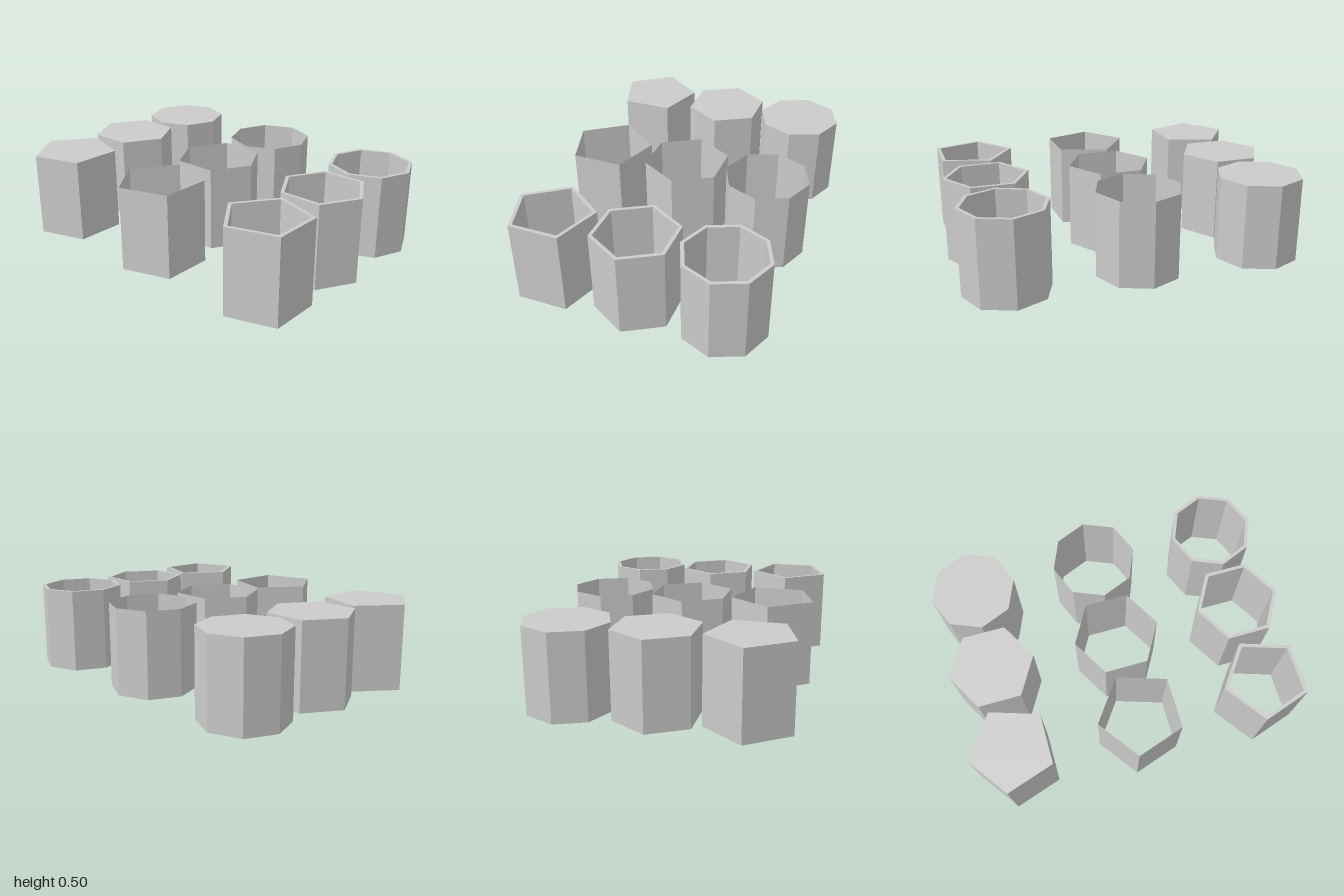
import * as THREE from 'three';

const RADIUS = 0.25, HEIGHT = 0.5, WALL = 0.02, SPACING = 0.5, ROW = 0.75;

// Corners of a regular polygon with one corner pointing to the back
function corners(sides, radius) {
  return Array.from({ length: sides }, (_, i) => {
    const a = Math.PI / 2 + (i / sides) * Math.PI * 2;
    return new THREE.Vector2(Math.cos(a) * radius, Math.sin(a) * radius);
  });
}

// Upright prism, hollowed right through when an inner radius is given
function prism(sides, innerRadius = 0) {
  const shape = new THREE.Shape(corners(sides, RADIUS));
  if (innerRadius) shape.holes.push(new THREE.Path(corners(sides, innerRadius)));
  return new THREE.ExtrudeGeometry(shape, { depth: HEIGHT, bevelEnabled: false })
    .rotateX(-Math.PI / 2);
}

// Thin side wall without caps
function shell(sides) {
  return new THREE.CylinderGeometry(RADIUS, RADIUS, HEIGHT, sides, 1, true, Math.PI)
    .translate(0, HEIGHT / 2, 0);
}

export function createModel() {
  const group = new THREE.Group();
  const solid = new THREE.MeshStandardMaterial({ color: 0xcccccc, flatShading: true });
  const thin = new THREE.MeshStandardMaterial({
    color: 0xcccccc, flatShading: true, side: THREE.DoubleSide,
  });

  const columns = [['pentagon', 5], ['hexagon', 6], ['octagon', 8]];
  // Shifts the columns so that the whole set is centred on x
  const startX = (RADIUS * Math.sin(Math.PI * 0.4) - RADIUS) / 2 - SPACING;

  columns.forEach(([name, sides], i) => {
    const add = (part, geometry, material, z) => {
      const mesh = new THREE.Mesh(geometry, material);
      mesh.name = name + part;
      mesh.position.set(startX + i * SPACING, 0, z);
      group.add(mesh);
    };
    const inner = RADIUS - WALL / Math.cos(Math.PI / sides);
    add('Prism', prism(sides), solid, -ROW);
    add('Shell', shell(sides), thin, 0);
    add('Tube', prism(sides, inner), solid, ROW);
  });
  return group;
}
